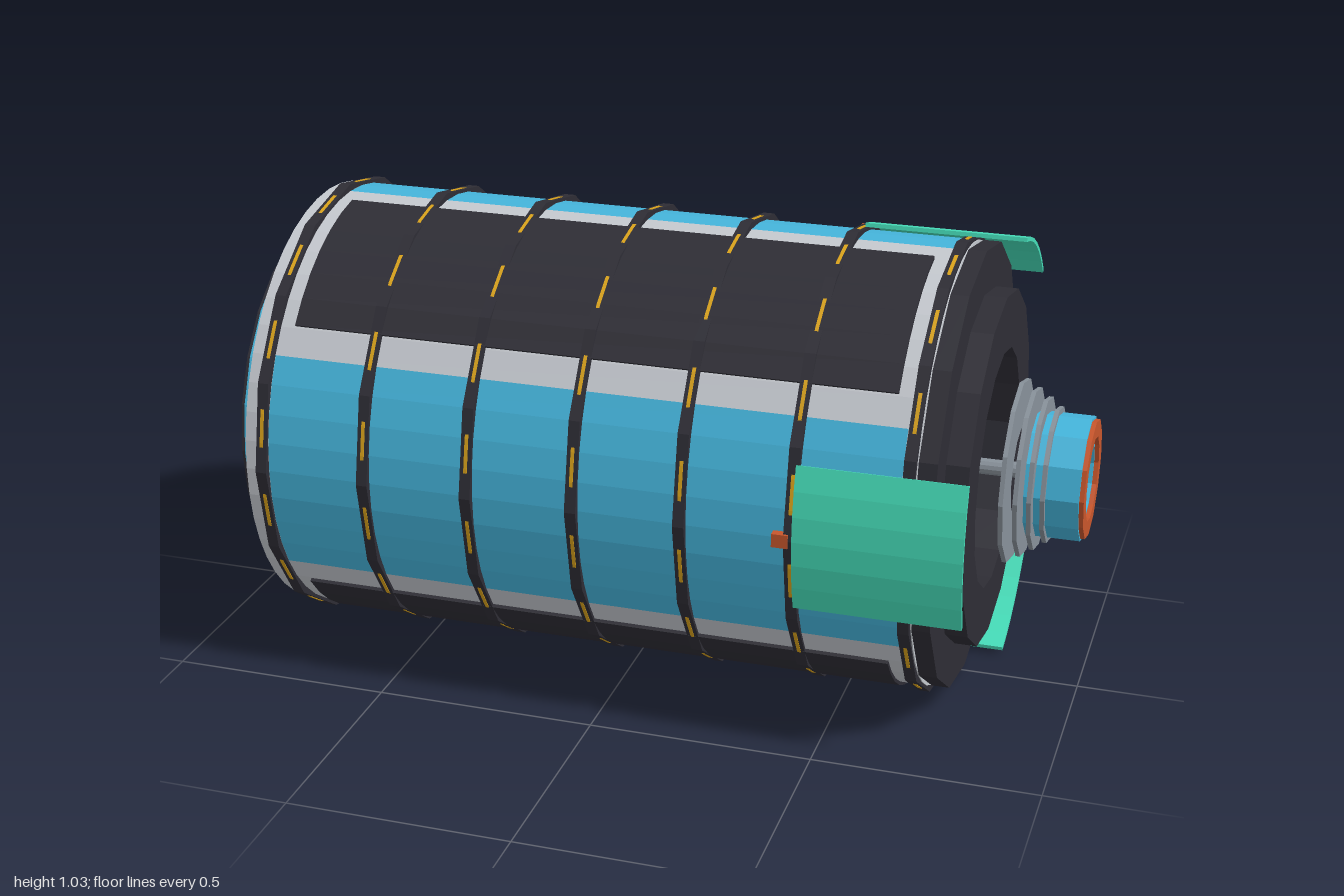
import * as THREE from 'three';

const mat = (name, color) => {
  const m = new THREE.MeshStandardMaterial({ color });
  m.name = name;
  return m;
};

export function createModel() {
  const blue = mat('window blue', 0x45b5dc);
  const hull = mat('hull light grey', 0xc4c8ce);
  const steel = mat('steel grey', 0x88919a);
  const dark = mat('charcoal', 0x2e2d35);
  const orange = mat('orange', 0xc8562c);
  const teal = mat('teal', 0x45dcb8);
  const green = mat('land green', 0x426b45);
  const gold = mat('gold', 0xd9a21b);

  const root = new THREE.Group();
  root.name = 'rotatingHabitat';
  const body = new THREE.Group();
  body.name = 'habitat';
  body.position.y = 0.515;
  root.add(body);

  const add = (name, geometry, material) => {
    const m = new THREE.Mesh(geometry, material);
    m.name = name;
    body.add(m);
    return m;
  };

  // Faceted solid turned about the x axis; profile points are [x, radius]
  const turned = (name, profile, sides, material) => {
    const g = new THREE.LatheGeometry(profile.map(([x, r]) => new THREE.Vector2(r, x)), sides);
    g.rotateZ(-Math.PI / 2);
    const flat = g.toNonIndexed();
    flat.computeVertexNormals();
    return add(name, flat, material);
  };
  const ring = (name, x0, x1, inner, outer, sides, material) =>
    turned(name, [[x0, inner], [x0, outer], [x1, outer], [x1, inner], [x0, inner]], sides, material);
  const rod = (name, x0, x1, r0, r1, sides, material) =>
    turned(name, [[x0, 0], [x0, r0], [x1, r1], [x1, 0]], sides, material);

  // Curved plate; angles in degrees from +z towards +y
  const plate = (name, x0, x1, r0, r1, mid, half, steps, material) => {
    const pts = [];
    const arc = (r, from, to) => {
      for (let i = 0; i <= steps; i++) {
        const a = THREE.MathUtils.degToRad(from + (to - from) * i / steps);
        pts.push(new THREE.Vector2(-r * Math.cos(a), r * Math.sin(a)));
      }
    };
    arc(r1, mid - half, mid + half);
    arc(r0, mid + half, mid - half);
    const g = new THREE.ExtrudeGeometry(new THREE.Shape(pts), { depth: x1 - x0, bevelEnabled: false });
    g.rotateY(Math.PI / 2);
    g.translate(x0, 0, 0);
    return add(name, g, material);
  };

  // Small box seated at an angle and radius
  const block = (name, x, r, deg, size, material) => {
    const a = THREE.MathUtils.degToRad(deg);
    const m = add(name, new THREE.BoxGeometry(...size), material);
    m.position.set(x, r * Math.sin(a), r * Math.cos(a));
  };

  // Three window strips alternating with three land strips
  for (let i = 0; i < 3; i++) {
    const w = i * 120, l = w + 60;
    plate('window', -0.745, 0.67, 0.488, 0.499, w, 30, 8, blue);
    plate('landHull', -0.745, 0.67, 0.488, 0.499, l, 30, 8, hull);
    plate('landGround', -0.72, 0.65, 0.48, 0.488, l, 24, 6, green);
    plate('outerPanel', -0.71, 0.64, 0.499, 0.507, l, 22, 6, dark);
    // Hinged mirror flap and its hinge
    plate('mirrorFlap', 0.45, 0.81, 0.506, 0.515, w, 18.5, 6, teal);
    block('flapHinge', 0.425, 0.503, w, [0.035, 0.03, 0.03], orange);
  }

  // Hull end bands
  ring('rearBand', -0.8, -0.745, 0.4, 0.499, 48, hull);
  ring('frontBand', 0.67, 0.7, 0.46, 0.499, 48, hull);

  // Hoops with a thin gold line
  for (let i = 0; i < 7; i++) {
    const x = -0.758 + i * 0.2405;
    ring('hoop', x - 0.0125, x + 0.0125, 0.487, 0.515, 16, dark);
    ring('hoopLine', x - 0.004, x + 0.004, 0.5, 0.5075, 48, gold);
  }

  // Stepped open cap at the docking end
  turned('dockingCap', [[0.7, 0.27], [0.7, 0.5], [0.74, 0.5], [0.74, 0.4],
    [0.79, 0.4], [0.79, 0.27], [0.7, 0.27]], 16, dark);

  // Open cap at the other end
  ring('rearCap', -0.846, -0.8, 0.27, 0.415, 24, blue);
  ring('rearCapFace', -0.854, -0.846, 0.27, 0.412, 24, dark);

  // Central axle with hubs
  rod('axle', -0.96, 0.92, 0.018, 0.018, 12, steel);
  rod('axleTip', -1, -0.96, 0.012, 0.012, 12, blue);
  for (const x of [-0.77, 0.72]) {
    ring('hubRing', x - 0.012, x + 0.012, 0.04, 0.064, 16, blue);
    for (let k = 0; k < 4; k++) {
      block('hubSpoke', x, 0.03, k * 90, k % 2 ? [0.01, 0.04, 0.01] : [0.01, 0.01, 0.04], steel);
    }
  }

  // Docking lamps inside the opening
  for (const deg of [30, 90, 150, 210, 270, 330]) {
    block('lampArm', 0.63, 0.253, deg, [0.07, 0.014, 0.014], dark);
    block('lamp', 0.67, 0.253, deg, [0.016, 0.016, 0.016], orange);
  }

  // Docking nose: stacked discs, collar, orange rim and inner cone
  [[0.832, 0.207], [0.86, 0.19], [0.887, 0.172], [0.913, 0.153]].forEach(([x, r]) =>
    ring('noseDisc', x - 0.005, x + 0.005, 0.1, r, 12, steel));
  ring('noseCollar', 0.87, 0.99, 0.088, 0.14, 12, blue);
  ring('noseRim', 0.99, 1, 0.095, 0.134, 12, orange);
  rod('noseCone', 0.9, 0.985, 0.066, 0.03, 24, blue);

  return root;
}
